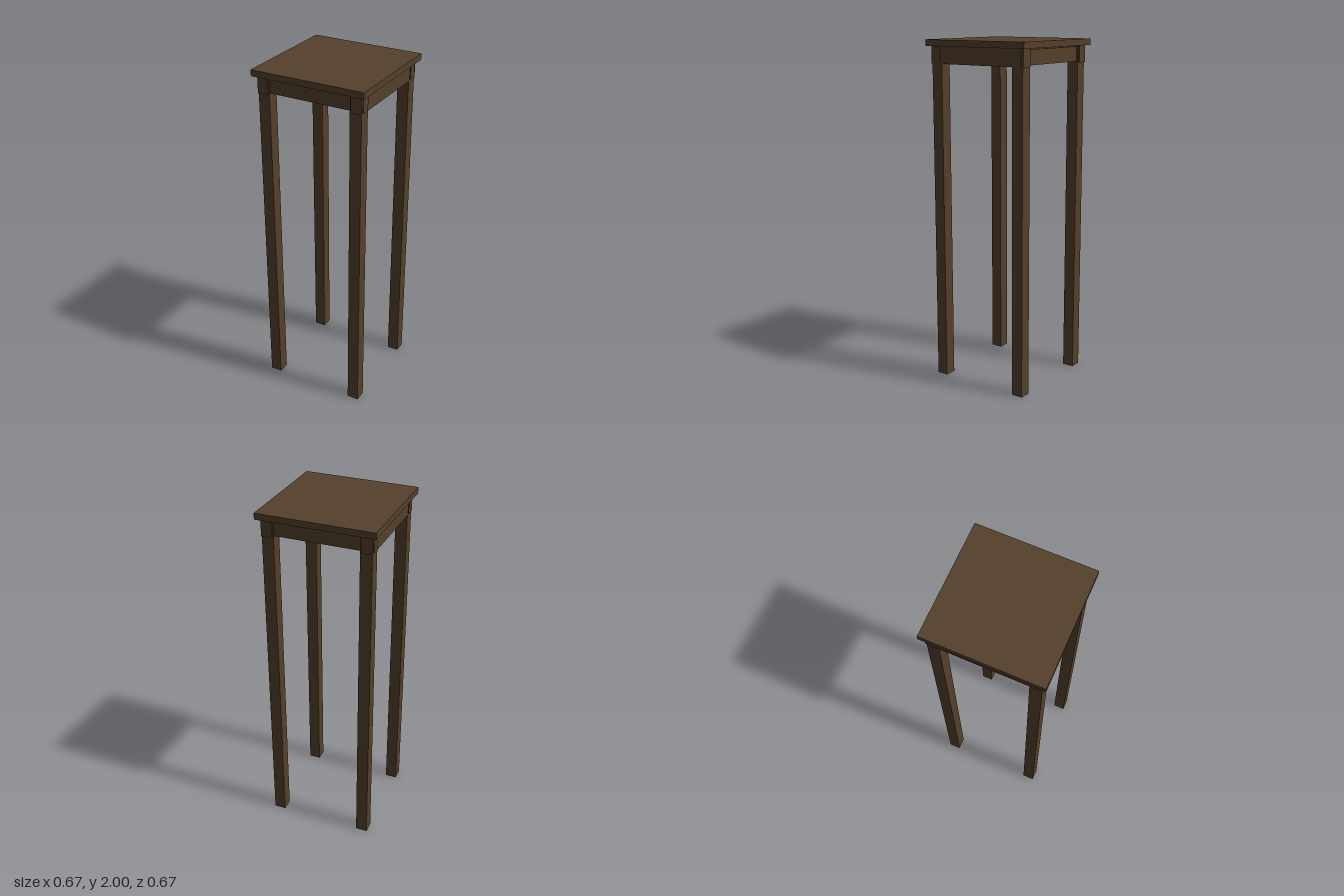
import * as THREE from 'three';

export function createModel() {
  const model = new THREE.Group();
  model.name = 'tallStool';
  const wood = new THREE.MeshStandardMaterial({ color: 0x55402b });
  wood.name = 'darkWood';

  // box given by its size, centre x and z, and bottom height
  function addBox(name, w, h, d, x, bottom, z) {
    const mesh = new THREE.Mesh(new THREE.BoxGeometry(w, h, d), wood);
    mesh.name = name;
    mesh.position.set(x, bottom + h / 2, z);
    model.add(mesh);
  }

  // square seat board
  addBox('seat', 0.674, 0.036, 0.674, 0, 1.964, 0);

  // four straight square legs
  for (const x of [-1, 1]) {
    for (const z of [-1, 1]) {
      addBox('leg', 0.068, 1.964, 0.068, x * 0.276, 0, z * 0.276);
    }
  }

  // rails through the leg tops, their ends standing slightly proud
  for (const s of [-1, 1]) {
    addBox('sideRail', 0.062, 0.098, 0.632, s * 0.28, 1.866, 0);
    addBox('crossRail', 0.632, 0.084, 0.05, 0, 1.873, s * 0.276);
  }
  return model;
}
